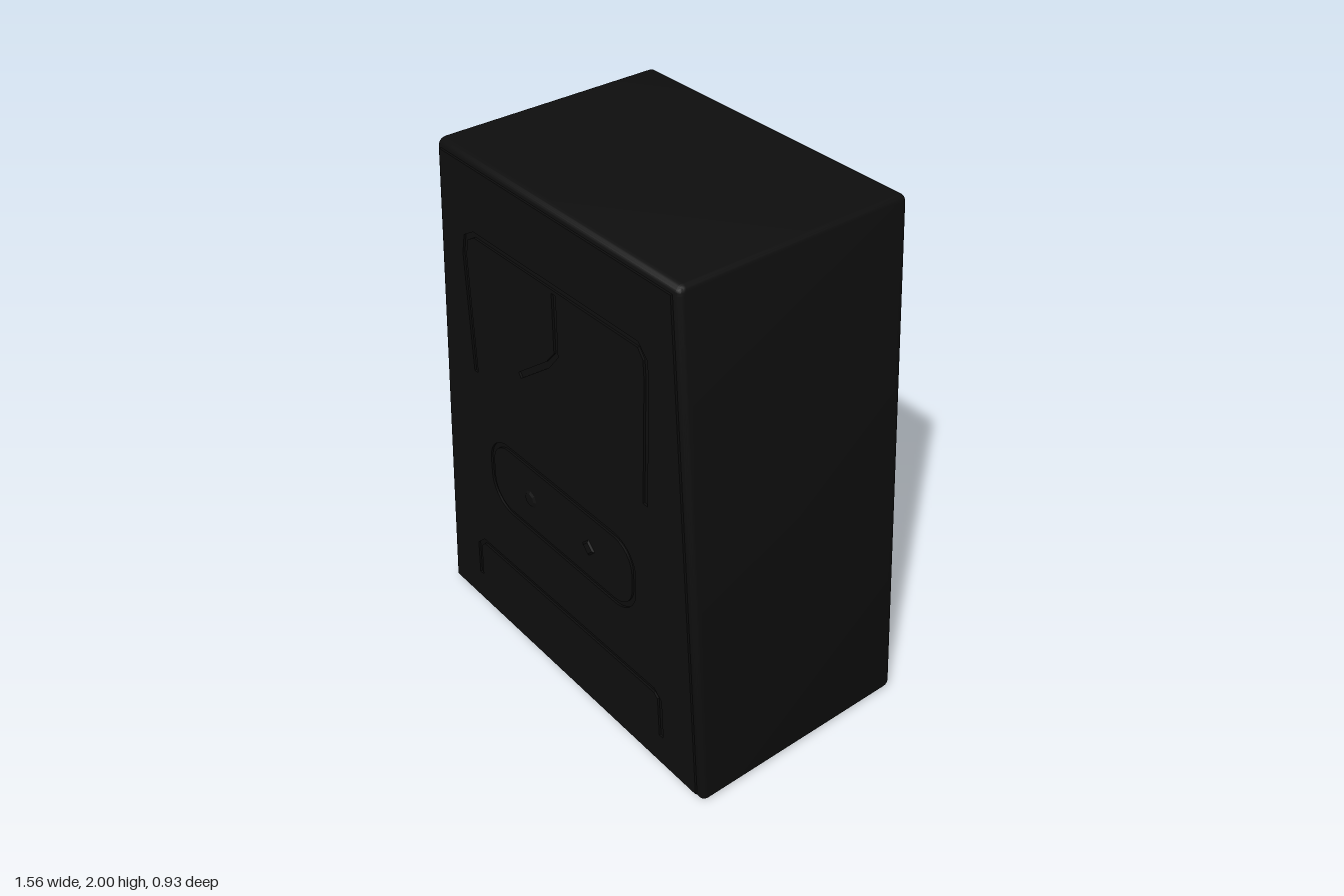
import * as THREE from 'three';
import { RoundedBoxGeometry } from 'three/addons/geometries/RoundedBoxGeometry.js';
import { toCreasedNormals } from 'three/addons/utils/BufferGeometryUtils.js';

const BOTTOM = 0.78, TOP = 0.63, BACK = -0.465, FRONT = 0.462, GROOVE = 0.008;
const halfWidth = (y) => BOTTOM + (TOP - BOTTOM) * y / 2;

// Outline of a narrow strip that follows a polyline.
function strip(points, width) {
  const p = points.map(([x, y]) => new THREE.Vector2(x, y));
  const left = [], right = [];
  p.forEach((q, i) => {
    const dir = p[Math.min(i + 1, p.length - 1)].clone().sub(p[Math.max(i - 1, 0)]).normalize();
    const n = new THREE.Vector2(-dir.y, dir.x).multiplyScalar(width / 2);
    left.push(q.clone().add(n));
    right.unshift(q.clone().sub(n));
  });
  return new THREE.Path([...left, ...right]);
}

function roundedRect(cx, cy, w, h, r) {
  const s = new THREE.Shape();
  const x = w / 2 - r, y = h / 2 - r;
  s.absarc(cx + x, cy + y, r, 0, Math.PI / 2);
  s.absarc(cx - x, cy + y, r, Math.PI / 2, Math.PI);
  s.absarc(cx - x, cy - y, r, Math.PI, Math.PI * 1.5);
  s.absarc(cx + x, cy - y, r, Math.PI * 1.5, Math.PI * 2);
  s.closePath();
  return s;
}

export function createModel() {
  const group = new THREE.Group();
  const material = new THREE.MeshStandardMaterial({ color: 0x0e0e0e });
  const add = (name, geometry) => {
    const mesh = new THREE.Mesh(geometry, material);
    mesh.name = name;
    group.add(mesh);
    return mesh;
  };

  // Case: a soft-edged box that narrows towards the top
  const bodyFront = FRONT - GROOVE;
  const box = new RoundedBoxGeometry(2, 2, bodyFront - BACK, 3, 0.03);
  box.translate(0, 1, (bodyFront + BACK) / 2);
  const pos = box.attributes.position;
  for (let i = 0; i < pos.count; i++) pos.setX(i, pos.getX(i) * halfWidth(pos.getY(i)));
  add('case', toCreasedNormals(box, 0.6));

  // Front plate, cut through by shallow grooves
  const lo = 0.03, hi = 1.97, inset = 0.03;
  const plate = new THREE.Shape([
    [-halfWidth(lo) + inset, lo], [halfWidth(lo) - inset, lo],
    [halfWidth(hi) - inset, hi], [-halfWidth(hi) + inset, hi],
  ].map(([x, y]) => new THREE.Vector2(x, y)));
  const grooves = {
    upperFrame: [[-0.48, 1.15], [-0.495, 1.62], [-0.48, 1.69], [-0.43, 1.72],
      [0.45, 1.73], [0.485, 1.69], [0.49, 1.62], [0.48, 1.14]],
    hand: [[0.02, 1.70], [0.02, 1.47], [-0.03, 1.41], [-0.2, 1.28]],
    lowerFrame: [[-0.56, 0.16], [-0.555, 0.31], [-0.52, 0.345], [0.52, 0.355], [0.55, 0.33], [0.56, 0.16]],
  };
  for (const points of Object.values(grooves)) plate.holes.push(strip(points, 0.022));
  plate.holes.push(roundedRect(0, 0.765, 0.85, 0.31, 0.12));

  const extrude = (shape) => new THREE.ExtrudeGeometry(shape, { depth: GROOVE, bevelEnabled: false, curveSegments: 8 })
    .translate(0, 0, bodyFront);
  add('frontPlate', extrude(plate));
  add('middlePanel', extrude(roundedRect(0, 0.765, 0.81, 0.27, 0.1)));

  // Two small knobs on the middle panel
  for (const [name, x, sides] of [['rightKnob', -0.18, 8], ['leftKnob', 0.165, 4]]) {
    const knob = new THREE.CylinderGeometry(0.025, 0.038, GROOVE, sides).rotateX(Math.PI / 2);
    add(name, toCreasedNormals(knob, 0.4)).position.set(x, 0.76, FRONT + 0.002);
  }
  return group;
}
